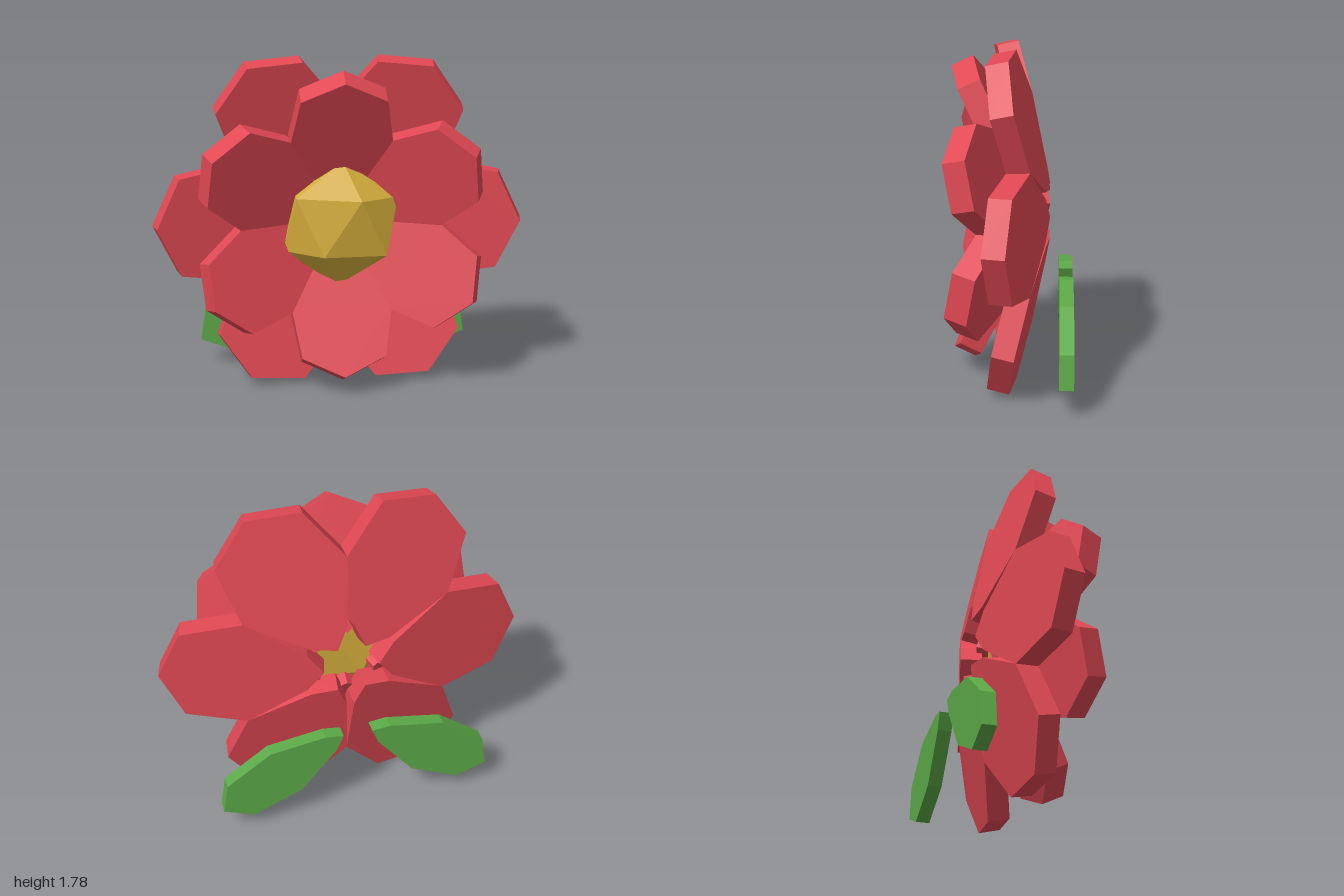
import * as THREE from 'three';

// Faceted half-outline shared by petals and leaves: [fraction of length, fraction of half width]
const OUTLINE = [[0, 0], [0.1, 0.35], [0.475, 1], [0.855, 0.82], [1, 0]];

// Slab pointing along +y, starting at y = start, between z = back and z = back + thickness
function bladeGeometry(length, halfWidth, start, back, thickness) {
  const right = OUTLINE.map(([l, w]) => new THREE.Vector2(w * halfWidth, start + l * length));
  const left = OUTLINE.slice(1, -1).reverse()
    .map(([l, w]) => new THREE.Vector2(-w * halfWidth, start + l * length));
  const geometry = new THREE.ExtrudeGeometry(new THREE.Shape([...right, ...left]), {
    depth: thickness, bevelEnabled: false,
  });
  return geometry.translate(0, 0, back);
}

export function createModel() {
  const petalRed = new THREE.MeshStandardMaterial({ color: 0xe04853 });
  petalRed.name = 'petalRed';
  const centreGold = new THREE.MeshStandardMaterial({ color: 0xd6af3c });
  centreGold.name = 'centreGold';
  const leafGreen = new THREE.MeshStandardMaterial({ color: 0x5caa48 });
  leafGreen.name = 'leafGreen';

  const model = new THREE.Group();
  model.name = 'flower';
  const head = new THREE.Group();
  head.name = 'flowerHead';
  head.position.y = 0.89;
  model.add(head);

  // Ring of six petals, each leaning forward by tilt
  function petalRing(name, geometry, tilt, offset) {
    const ring = new THREE.Group();
    ring.name = name + 's';
    for (let i = 0; i < 6; i++) {
      const spoke = new THREE.Group();
      spoke.name = `${name}Spoke${i + 1}`;
      spoke.rotation.z = offset + (i * Math.PI) / 3;
      const petal = new THREE.Mesh(geometry, petalRed);
      petal.name = `${name}${i + 1}`;
      petal.rotation.x = tilt;
      spoke.add(petal);
      ring.add(spoke);
    }
    head.add(ring);
  }
  petalRing('outerPetal', bladeGeometry(0.87, 0.32, 0.1, -0.229, 0.118), 0.24, Math.PI / 6);
  petalRing('innerPetal', bladeGeometry(0.74, 0.272, 0.104, -0.173, 0.127), 0.449, 0);

  // Flattened faceted centre
  const centre = new THREE.Mesh(new THREE.IcosahedronGeometry(0.34, 0), centreGold);
  centre.name = 'centre';
  centre.scale.z = 0.49;
  centre.rotation.z = -0.59;
  centre.position.z = 0.08;
  head.add(centre);

  // Two drooping leaves behind the head
  const leafGeometry = bladeGeometry(0.776, 0.17, 0, -0.325, 0.075);
  for (const [name, side] of [['leftLeaf', 1], ['rightLeaf', -1]]) {
    const leaf = new THREE.Mesh(leafGeometry, leafGreen);
    leaf.name = name;
    leaf.position.set(0.08 * side, 0.54, 0);
    leaf.rotation.z = (-2 * Math.PI / 3) * side;
    model.add(leaf);
  }
  return model;
}
